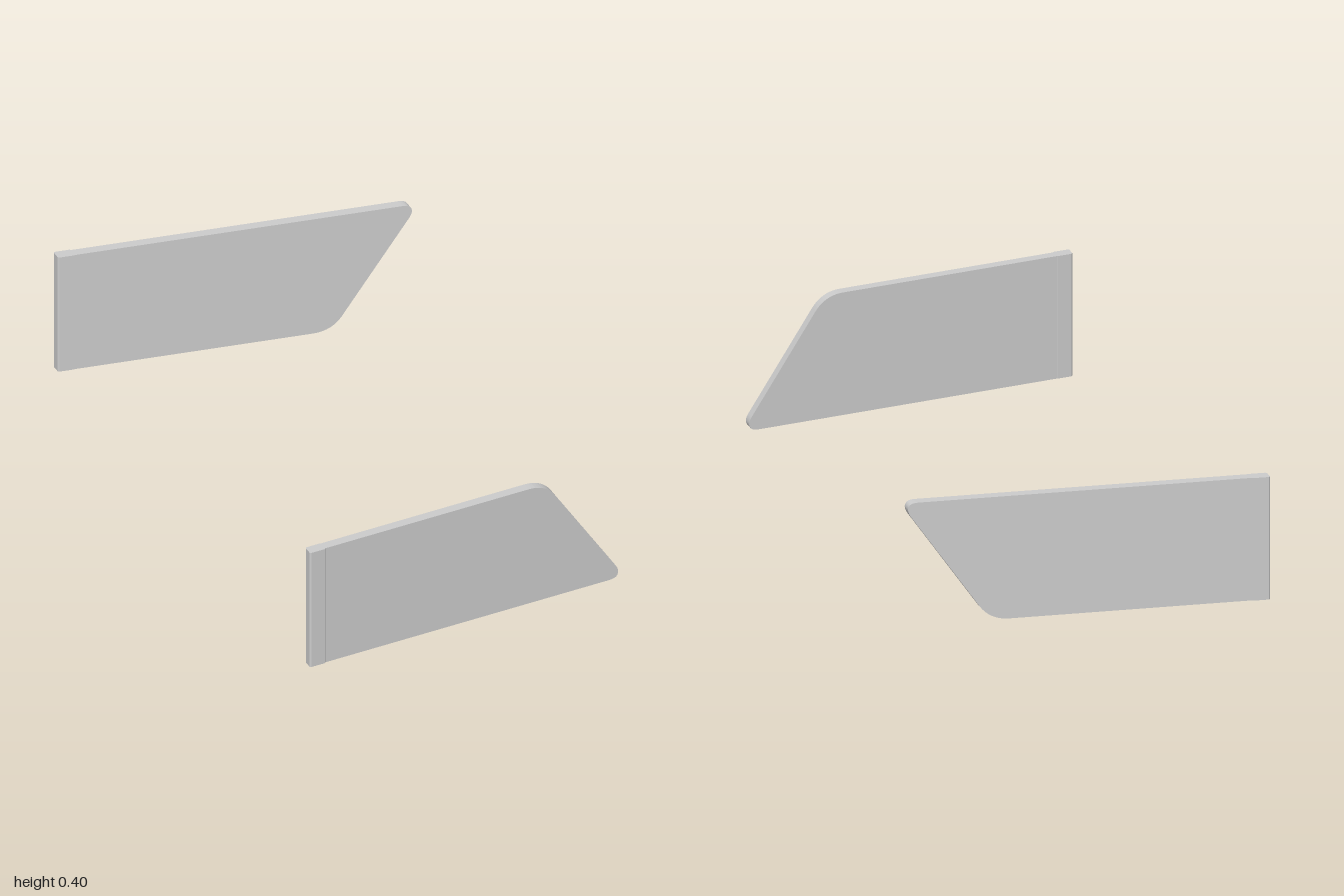
import * as THREE from 'three';

const HEIGHT = 0.4, LEFT = -0.56, THICK = 0.033;
const material = new THREE.MeshStandardMaterial({ color: 0xcccccc });

// Extrude an outline ending at outer z, then slant it inwards along x
function slantedPlate(name, shape, outer, thick, slope) {
  const geo = new THREE.ExtrudeGeometry(shape, { depth: thick, bevelEnabled: false, curveSegments: 10 });
  const p = geo.attributes.position;
  for (let i = 0; i < p.count; i++) {
    p.setZ(i, p.getZ(i) + outer - thick - slope * (p.getX(i) - LEFT));
  }
  geo.computeVertexNormals();
  const mesh = new THREE.Mesh(geo, material);
  mesh.name = name;
  return mesh;
}

// Side plate with a raked, rounded free end; extra lengthens it
function sidePlate(name, extra, slope) {
  const group = new THREE.Group();
  group.name = name;

  const s = new THREE.Shape();
  s.moveTo(LEFT + 0.004, 0);
  s.lineTo(0.485 + extra, 0);
  s.bezierCurveTo(0.505 + extra, 0, 0.515 + extra, 0.005, 0.517 + extra, 0.02);
  s.quadraticCurveTo(0.517 + extra, 0.032, 0.508 + extra, 0.045);
  s.lineTo(0.295 + extra, 0.355);
  s.bezierCurveTo(0.275 + extra, 0.383, 0.245 + extra, HEIGHT, 0.205 + extra, HEIGHT);
  s.lineTo(LEFT + 0.004, HEIGHT);
  s.closePath();
  group.add(slantedPlate('panel', s, 0.9955, THICK, slope));

  // Slightly proud mounting strip with chamfered long edges
  const x0 = LEFT, x1 = -0.505, c = 0.004;
  const zo = 0.999, zi = 0.961;
  const plan = new THREE.Shape([
    [x0, zi + c], [x0 + c, zi], [x1 - c, zi], [x1, zi + c],
    [x1, zo - c], [x1 - c, zo], [x0 + c, zo], [x0, zo - c],
  ].map(([x, z]) => new THREE.Vector2(x, -(z - slope * (x - LEFT)))));
  const strip = new THREE.ExtrudeGeometry(plan, { depth: HEIGHT, bevelEnabled: false });
  strip.rotateX(-Math.PI / 2);
  const stripMesh = new THREE.Mesh(strip, material);
  stripMesh.name = 'mountingStrip';
  group.add(stripMesh);
  return group;
}

export function createModel() {
  const model = new THREE.Group();
  model.name = 'sidePlates';
  model.add(sidePlate('frontPlate', 0, 0.126));

  // The rear plate is turned over, so its long edge is on top
  const rear = sidePlate('rearPlate', 0.04, 0.111);
  rear.rotation.x = Math.PI;
  rear.position.y = HEIGHT;
  model.add(rear);
  return model;
}
